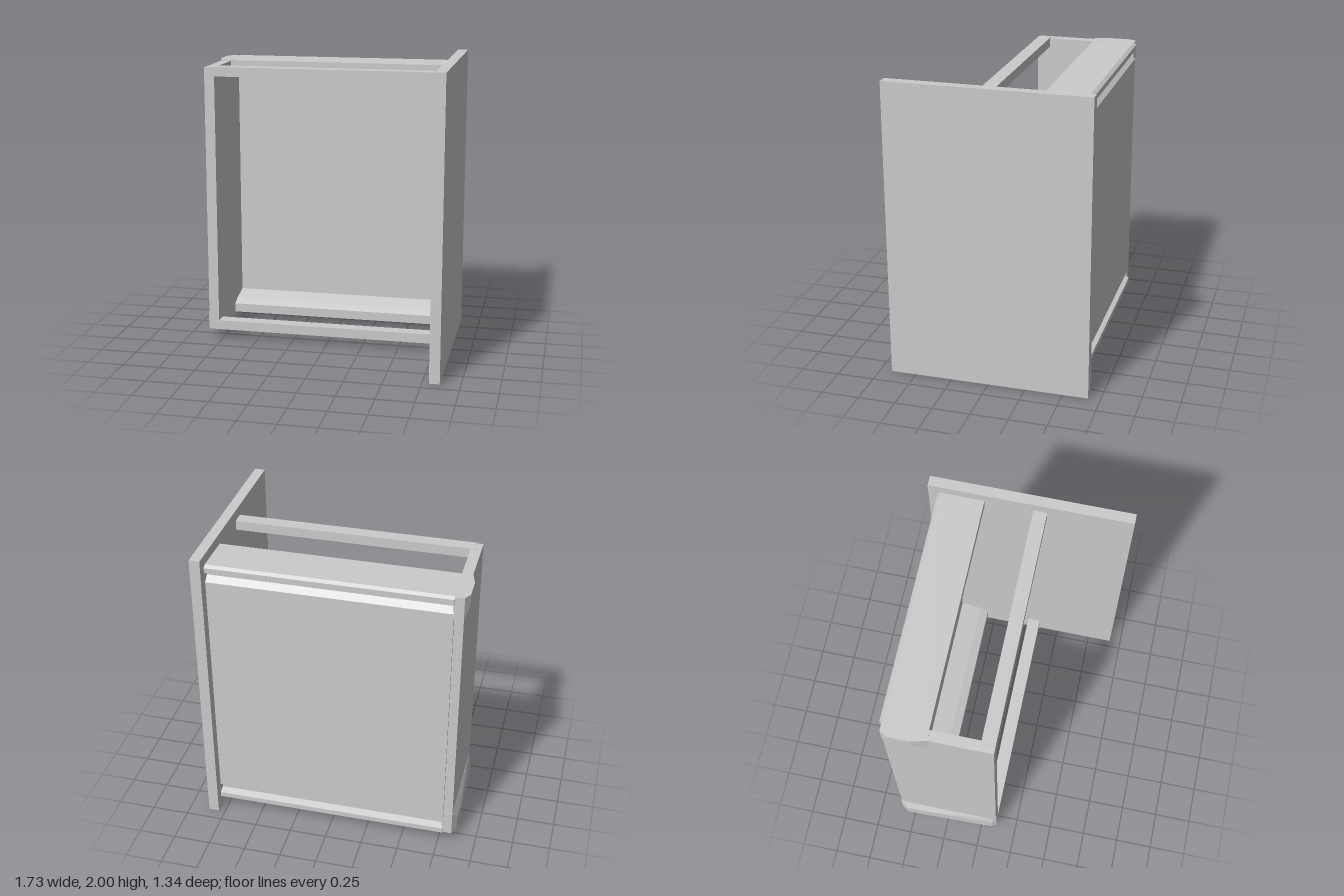
import * as THREE from 'three';
import { ConvexGeometry } from 'three/addons/geometries/ConvexGeometry.js';

const material = new THREE.MeshStandardMaterial({ color: 0xcccccc, flatShading: true });

export function createModel() {
  const group = new THREE.Group();

  const add = (name, geometry) => {
    const mesh = new THREE.Mesh(geometry, material);
    mesh.name = name;
    group.add(mesh);
  };

  // Box given by its limits on each axis
  const addBox = (name, [x0, x1], [y0, y1], [z0, z1]) => {
    const geometry = new THREE.BoxGeometry(x1 - x0, y1 - y0, z1 - z0);
    geometry.translate((x0 + x1) / 2, (y0 + y1) / 2, (z0 + z1) / 2);
    add(name, geometry);
  };

  // Large end board
  addBox('endBoard', [0.795, 0.865], [0, 2], [-0.67, 0.67]);

  // Side wall opposite the board, and the two front rails
  addBox('sideWall', [-0.84, -0.77], [0.075, 1.925], [-0.585, 0.11]);
  addBox('topRail', [-0.8, 0.8], [1.865, 1.93], [0.02, 0.11]);
  addBox('bottomRail', [-0.8, 0.8], [0.07, 0.135], [0.02, 0.11]);

  // Back panel with deep lips at top and bottom: (z, y) profile run along x
  const upper = [
    [-0.5, 1.81], [-0.36, 1.843], [-0.3, 1.868], [-0.3, 1.93], [-0.585, 1.935],
    [-0.607, 1.92], [-0.607, 1.885], [-0.56, 1.868], [-0.56, 1.85], [-0.6, 1.815],
  ];
  const lower = upper.map(([z, y]) => [z, 2 - y]).reverse();
  const profile = new THREE.Shape([...upper, ...lower].map(([z, y]) => new THREE.Vector2(z, y)));
  const panel = new THREE.ExtrudeGeometry(profile, { depth: 1.58, bevelEnabled: false });
  panel.rotateY(-Math.PI / 2).translate(0.8, 0, 0);
  add('backPanel', panel);

  // Flared corner caps: an (x, z) outline that tapers back to the wall
  const addCap = (name, outline, yOuter, yFull, yTaper) => {
    const points = [];
    for (const [x, z] of outline) {
      points.push(new THREE.Vector3(x, yOuter, z), new THREE.Vector3(x, yFull, z));
      points.push(new THREE.Vector3(Math.max(x, -0.841), yTaper, z));
    }
    add(name, new ConvexGeometry(points));
  };
  addCap('topCornerCap',
    [[-0.77, -0.3], [-0.84, -0.29], [-0.868, -0.4], [-0.868, -0.54], [-0.84, -0.59], [-0.77, -0.59]],
    1.932, 1.85, 1.78);
  addCap('bottomCornerCap',
    [[-0.77, 0.11], [-0.835, 0.112], [-0.853, 0.08], [-0.868, -0.4], [-0.868, -0.54], [-0.84, -0.59], [-0.77, -0.59]],
    0.072, 0.18, 0.24);

  return group;
}
